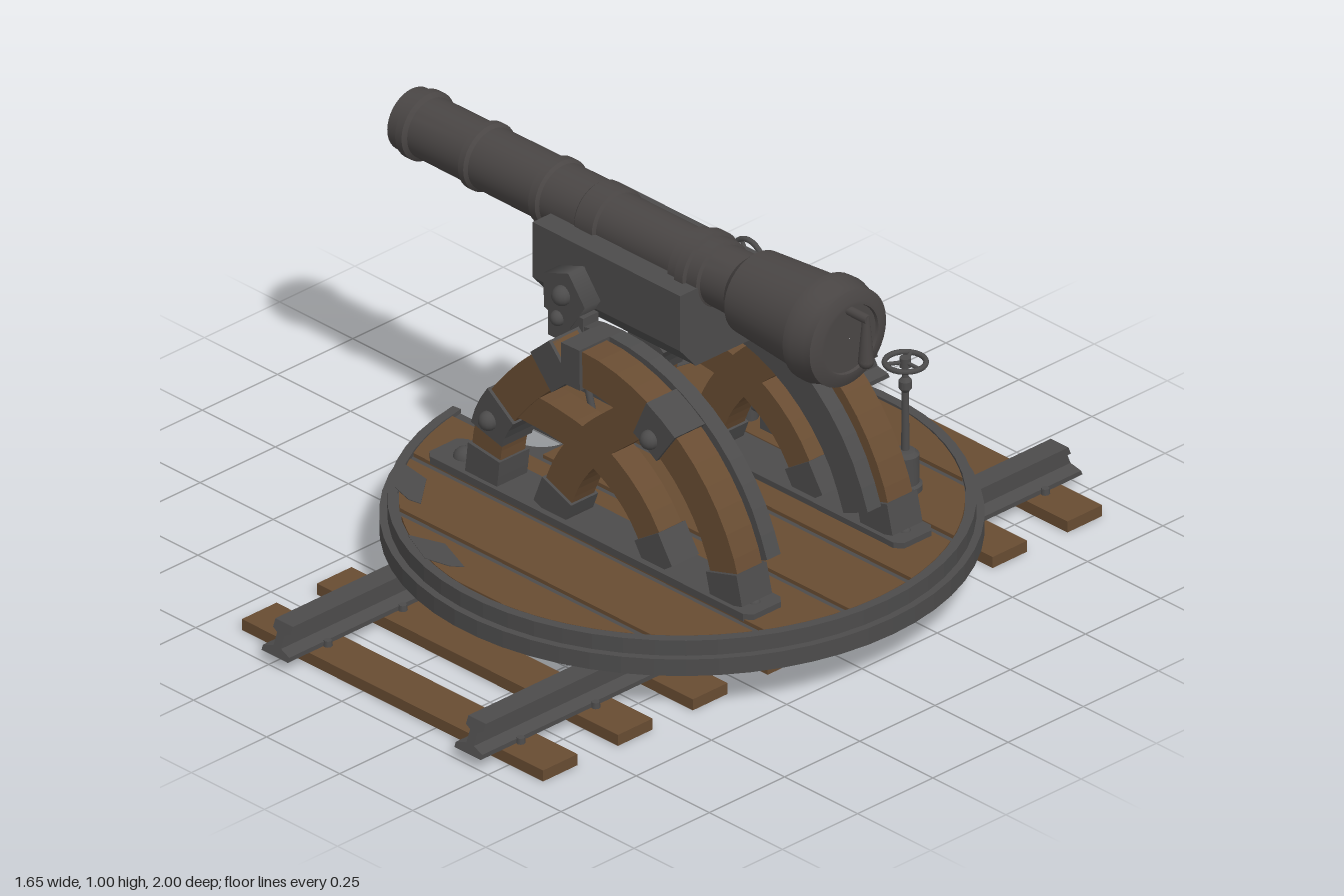
import * as THREE from 'three';
import { toCreasedNormals } from 'three/addons/utils/BufferGeometryUtils.js';

const mat = (name, color) => Object.assign(new THREE.MeshStandardMaterial({ color }), { name });
const V = (x, y) => new THREE.Vector2(x, y);

export function createModel() {
  const wood = mat('brown wood', 0x684c32);
  const iron = mat('grey iron', 0x4c4b4b);
  const gunmetal = mat('gun metal', 0x4a4645);
  const model = new THREE.Group();
  model.name = 'turntableCannon';

  // helpers
  const add = (parent, name, geo, material, x = 0, y = 0, z = 0) => {
    const m = new THREE.Mesh(geo, material);
    m.name = name;
    m.position.set(x, y, z);
    parent.add(m);
    return m;
  };
  const box = (w, h, d) => new THREE.BoxGeometry(w, h, d);
  const cyl = (r1, r2, h, n = 16) => new THREE.CylinderGeometry(r1, r2, h, n);
  const extrude = (shape, depth) => new THREE.ExtrudeGeometry(shape, { depth, bevelEnabled: false, curveSegments: 28 });
  const slab = (shape, depth) => extrude(shape, depth).rotateX(-Math.PI / 2);
  const lathe = (pts, n = 28) => toCreasedNormals(new THREE.LatheGeometry(pts.map(p => V(p[0], p[1])), n), 0.5);
  const rod = (parent, name, a, b, r1, r2, material) => {
    const A = new THREE.Vector3(...a), d = new THREE.Vector3(...b).sub(A);
    const m = add(parent, name, cyl(r2, r1, d.length(), 12), material);
    m.position.copy(A).addScaledVector(d, 0.5);
    m.quaternion.setFromUnitVectors(new THREE.Vector3(0, 1, 0), d.normalize());
    return m;
  };
  // flat beam following part of a curve in the xy plane
  const band = (pts, width, depth, t0 = 0, t1 = 1) => {
    const curve = new THREE.CatmullRomCurve3(pts.map(p => new THREE.Vector3(p[0], p[1], 0)));
    const left = [], right = [], n = Math.max(2, Math.round(14 * (t1 - t0)));
    for (let i = 0; i <= n; i++) {
      const t = t0 + (t1 - t0) * i / n, p = curve.getPointAt(t), d = curve.getTangentAt(t);
      left.push(V(p.x - d.y * width / 2, p.y + d.x * width / 2));
      right.push(V(p.x + d.y * width / 2, p.y - d.x * width / 2));
    }
    return extrude(new THREE.Shape([...right, ...left.reverse()]), depth).translate(0, 0, -depth / 2);
  };

  // track: ties and two rails with slanted ends
  const track = new THREE.Group();
  track.name = 'track';
  model.add(track);
  for (let i = 0; i < 8; i++) add(track, 'tie', box(1.03, 0.03, 0.115), wood, 0.1, 0.015, (i - 3.5) * 0.249);
  const half = [[0.045, 0.03], [0.045, 0.042], [0.013, 0.052], [0.013, 0.083], [0.03, 0.09], [0.03, 0.11]];
  const section = new THREE.Shape([...half.map(p => V(p[0], p[1])), ...half.map(p => V(-p[0], p[1])).reverse()]);
  const rail = extrude(section, 2).translate(0, 0, -1);
  const rp = rail.attributes.position;
  for (let i = 0; i < rp.count; i++) rp.setZ(i, rp.getZ(i) * (1 - 0.4 * (rp.getY(i) - 0.03)));
  rail.computeVertexNormals();
  for (const x of [-0.23, 0.43]) {
    add(track, 'rail', rail, iron, x);
    for (let i = 0; i < 8; i++) for (const s of [-1, 1])
      add(track, 'railSpike', cyl(0.01, 0.012, 0.016, 8), iron, x + s * 0.05, 0.037, (i - 3.5) * 0.249);
  }

  // turntable: slotted discs, raised rim and clipped planks
  const table = new THREE.Group();
  table.name = 'turntable';
  table.position.set(0.1, 0, -0.033);
  model.add(table);
  const slot = 0.083;
  const slotted = R => {
    const a = Math.asin(slot / R), s = new THREE.Shape();
    s.absarc(0, 0, R, -Math.PI + a, Math.PI - a, false);
    s.absarc(-0.48, 0, slot, Math.PI / 2, -Math.PI / 2, true);
    return s;
  };
  add(table, 'lowerDisc', slab(slotted(0.722), 0.045), iron, 0, 0.11);
  add(table, 'upperDisc', slab(slotted(0.703), 0.03), iron, 0, 0.155);
  const rim = new THREE.Shape();
  const ra = Math.asin(slot / 0.703);
  rim.absarc(0, 0, 0.703, -Math.PI + ra, Math.PI - ra, false);
  rim.absarc(0, 0, 0.678, Math.PI - ra, -Math.PI + ra, true);
  add(table, 'rim', slab(rim, 0.011), iron, 0, 0.185);
  const plank = (a, b, xMin = -1) => {
    const R = 0.675, pts = [], a0 = Math.asin(a / R), b0 = Math.asin(b / R);
    for (let i = 0; i <= 8; i++) pts.push(V(R * Math.cos(a0 + (b0 - a0) * i / 8), R * Math.sin(a0 + (b0 - a0) * i / 8)));
    const leftSide = pts.map(p => V(Math.max(-p.x, xMin), p.y)).reverse();
    add(table, 'plank', slab(new THREE.Shape([...pts, ...leftSide]), 0.01), wood, 0, 0.185);
  };
  plank(-0.093, 0.093, -0.38);
  for (const [a, b] of [[0.117, 0.31], [0.334, 0.52], [0.544, 0.67]]) { plank(a, b); plank(-b, -a); }
  // worn patches at the plank ends
  const patch = new THREE.Shape([V(-0.1, -0.02), V(0.02, -0.035), V(0.08, 0), V(0.1, 0.03), V(-0.02, 0.04)]);
  for (const [x, z, r] of [[-0.24, -0.6, 0.4], [-0.51, -0.41, 0.8], [-0.5, 0.42, -0.8], [-0.22, 0.61, -0.3]])
    add(table, 'wornPatch', slab(patch, 0.002), iron, x, 0.195, z).rotation.y = r;

  // carriage and gun share one middle plane
  const gun = new THREE.Group();
  gun.name = 'gunAndCarriage';
  gun.position.z = -0.033;
  model.add(gun);
  const arc = (r, d0, d1) => Array.from({ length: 9 }, (_, i) => {
    const a = (d0 + (d1 - d0) * i / 8) * Math.PI / 180;
    return [0.05 + r * Math.cos(a), 0.123 + r * Math.sin(a)];
  });
  // each beam: centre line, width, iron sleeve ranges
  const beams = [
    ['mainArch', arc(0.518, 9, 96), 0.097, [[0, 0.1], [0.52, 0.65], [0.92, 1]]],
    ['frontLeg', [[-0.28, 0.2], [-0.25, 0.37], [-0.15, 0.51], [-0.01, 0.64]], 0.097, [[0, 0.16], [0.26, 0.46], [0.84, 1]]],
    ['lowerArch', [[-0.2, 0.46], [-0.05, 0.455], [0.1, 0.425], [0.23, 0.34], [0.33, 0.2]], 0.085, [[0.86, 1]]],
    ['strut', [[-0.055, 0.2], [0.01, 0.35], [0.1, 0.46], [0.23, 0.57]], 0.095, [[0, 0.17]]],
  ];
  const plate = new THREE.Shape([V(-0.46, -0.045), V(-0.44, -0.062), V(0.63, -0.062), V(0.65, -0.045),
    V(0.65, 0.045), V(0.63, 0.062), V(-0.44, 0.062), V(-0.46, 0.045)]);
  for (const s of [-1, 1]) {
    const cheek = new THREE.Group();
    cheek.name = s > 0 ? 'frontCheek' : 'backCheek';
    cheek.position.z = s * 0.25;
    gun.add(cheek);
    add(cheek, 'basePlate', slab(plate, 0.02), iron, 0, 0.19);
    for (const x of [-0.385, 0.605]) add(cheek, 'plateBolt', new THREE.SphereGeometry(x < 0 ? 0.03 : 0.016, 14, 10), iron, x, 0.205);
    for (const [name, pts, w, sleeves] of beams) {
      const small = name === 'lowerArch' || name === 'strut';
      add(cheek, name, band(pts, w, small ? 0.074 : 0.082), wood);
      for (const [a, b] of sleeves) add(cheek, 'sleeve', band(pts, w + 0.012, small ? 0.09 : 0.1, a, b), iron);
    }
    for (const [x, y] of [[-0.252, 0.38], [0.3, 0.55]]) {
      add(cheek, 'sleeveBolt', new THREE.SphereGeometry(0.025, 14, 10), iron, x, y, s * 0.052);
    }
    // inner iron arc, bearing plate and trunnion cap
    add(cheek, 'innerArc', band(arc(0.518, 17, 110), 0.09, 0.045), iron, 0, 0, -s * 0.083);
    add(cheek, 'bearingPlate', cyl(0.078, 0.078, 0.055, 5).rotateX(Math.PI / 2).rotateZ(0.35), iron, -0.11, 0.73, -s * 0.083);
    add(cheek, 'bearingFoot', box(0.12, 0.09, 0.05), iron, -0.1, 0.655, -s * 0.083);
    add(cheek, 'trunnionCap', new THREE.SphereGeometry(0.026, 14, 10), iron, -0.107, 0.74, -s * 0.052);
    add(cheek, 'lowerBolt', new THREE.SphereGeometry(0.02, 14, 10), iron, -0.125, 0.67, -s * 0.056);
  }

  // cradle with bevelled underside
  const cradle = new THREE.Shape([V(-0.142, 0.855), V(-0.142, 0.705), V(-0.09, 0.645), V(0.09, 0.645), V(0.142, 0.705), V(0.142, 0.855)]);
  add(gun, 'cradle', extrude(cradle, 0.505).translate(0, 0, -0.2525).rotateY(Math.PI / 2), iron, -0.0125);

  // barrel turned about its long axis
  const barrel = [[0.001, -0.6], [0.056, -0.62], [0.056, -0.825], [0.081, -0.825], [0.081, -0.795], [0.089, -0.79], [0.089, -0.768],
    [0.078, -0.76], [0.079, -0.582], [0.088, -0.576], [0.088, -0.558], [0.08, -0.55], [0.081, -0.34], [0.089, -0.335],
    [0.089, -0.312], [0.081, -0.305], [0.082, -0.185], [0.086, -0.18], [0.086, -0.12], [0.077, -0.115], [0.077, 0.135],
    [0.087, 0.14], [0.087, 0.168], [0.096, 0.172], [0.096, 0.2], [0.087, 0.204], [0.087, 0.238], [0.078, 0.242],
    [0.08, 0.325], [0.107, 0.355], [0.124, 0.58], [0.137, 0.585], [0.138, 0.612], [0.128, 0.645], [0.127, 0.668],
    [0.1, 0.68], [0.09, 0.68], [0.088, 0.672], [0.001, 0.672]];
  add(gun, 'barrel', lathe(barrel, 36).rotateZ(-Math.PI / 2), gunmetal, 0, 0.858);
  // breech lever
  rod(gun, 'leverSpindle', [0.66, 0.935, 0], [0.738, 0.935, 0], 0.012, 0.012, gunmetal);
  rod(gun, 'leverGrip', [0.73, 0.942, 0], [0.73, 0.82, 0], 0.009, 0.02, gunmetal);
  add(gun, 'leverEnd', new THREE.SphereGeometry(0.02, 14, 10), gunmetal, 0.73, 0.82);

  // elevating rod below the cradle
  rod(gun, 'elevatingRod', [-0.3, 0.65, 0], [-0.185, 0.23, 0], 0.009, 0.009, iron);
  add(gun, 'rodPivot', cyl(0.03, 0.03, 0.06).rotateX(Math.PI / 2), iron, -0.303, 0.66);
  add(gun, 'pivotArm', box(0.13, 0.04, 0.045), iron, -0.252, 0.68).rotation.z = 0.45;
  add(gun, 'rodFoot', cyl(0.018, 0.024, 0.07), iron, -0.182, 0.225);

  // handwheel, axis along y
  const wheel = (parent, name, r) => {
    const g = new THREE.Group();
    g.name = name;
    add(g, 'wheelRim', new THREE.TorusGeometry(r, 0.007, 8, 24).rotateX(Math.PI / 2), iron);
    add(g, 'wheelHub', cyl(0.014, 0.014, 0.025), iron);
    for (let i = 0; i < 3; i++) {
      const a = i * Math.PI * 2 / 3;
      rod(g, 'spoke', [0, 0, 0], [r * Math.cos(a), 0, r * Math.sin(a)], 0.005, 0.005, iron);
    }
    parent.add(g);
    return g;
  };
  const controls = new THREE.Group();
  controls.name = 'controls';
  model.add(controls);
  add(controls, 'wheelPost', lathe([[0.042, 0.19], [0.042, 0.21], [0.034, 0.215], [0.034, 0.29], [0.024, 0.3], [0.01, 0.302],
    [0.009, 0.46], [0.016, 0.47], [0.016, 0.49], [0.008, 0.5], [0.008, 0.54]], 20), iron, 0.44, 0, -0.445);
  wheel(controls, 'traverseWheel', 0.05).position.set(0.44, 0.54, -0.445);
  rod(controls, 'sideAxle', [-0.055, 0.64, -0.3], [-0.055, 0.64, -0.42], 0.012, 0.012, iron);
  const side = wheel(controls, 'elevationWheel', 0.05);
  side.rotation.x = Math.PI / 2;
  side.position.set(-0.055, 0.64, -0.405);

  // lever bank with ribs, levers and side pipe
  const bank = new THREE.Shape([V(0.4, 0.19), V(0.485, 0.19), V(0.485, 0.25), V(0.46, 0.3), V(0.425, 0.31), V(0.4, 0.29)]);
  add(controls, 'leverBank', extrude(bank, 0.3).rotateY(Math.PI / 2), iron, -0.01);
  for (let i = 0; i < 4; i++)
    add(controls, 'bankRib', cyl(0.05, 0.05, 0.03, 20).rotateZ(Math.PI / 2), iron, -0.01 + i * 0.1, 0.262, -0.442);
  rod(controls, 'bankPipe', [-0.08, 0.235, -0.42], [0.36, 0.235, -0.42], 0.013, 0.013, iron);
  for (const x of [-0.07, 0.36]) add(controls, 'pipeEnd', cyl(0.024, 0.024, 0.07), iron, x, 0.225, -0.42);
  [0.045, 0.135, 0.23].forEach((x, i) => {
    const lean = i === 1 ? 0.02 : 0.07, at = t => [x, 0.29 + 0.17 * t, -0.445 - lean * t];
    rod(controls, 'lever', at(0), at(0.75), 0.006, 0.006, iron);
    rod(controls, 'leverHandle', at(0.6), at(1), 0.011, 0.015, wood);
  });
  return model;
}
